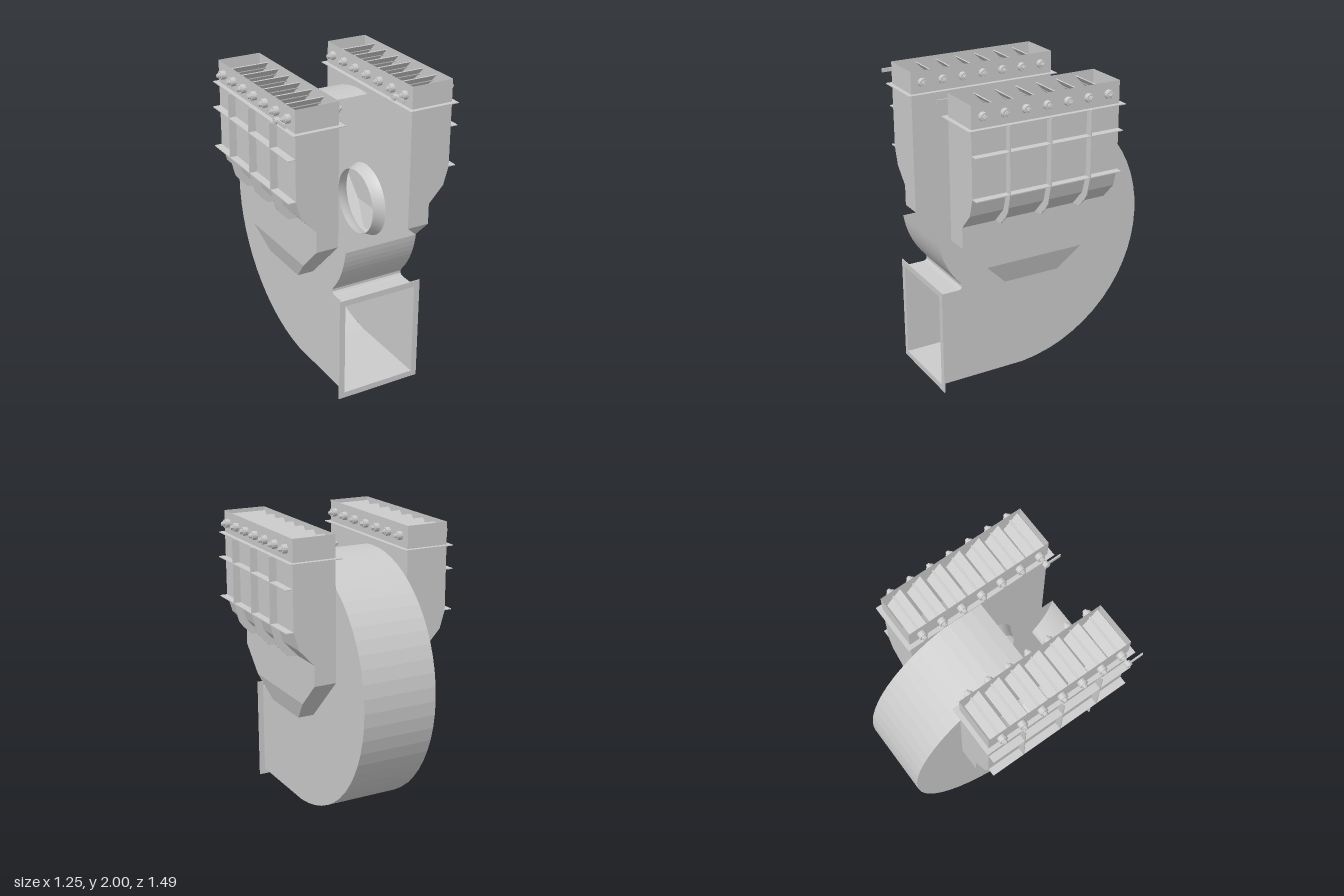
import * as THREE from 'three';

const flat = new THREE.MeshStandardMaterial({ color: 0xcccccc, flatShading: true, side: THREE.DoubleSide });
const smooth = new THREE.MeshStandardMaterial({ color: 0xcccccc, side: THREE.DoubleSide });

const CX = 0.02, HALF = 0.255;         // casing centre and half width in x
const AZ = 0.135, AY = 1.05;           // fan axis (z, y)
const BOX_W = 0.29, BOX_HZ = 0.515;    // inlet box width and half depth

function add(parent, name, geo, mat = flat, pos = [0, 0, 0]) {
  const m = new THREE.Mesh(geo, mat);
  m.name = name;
  m.position.set(...pos);
  parent.add(m);
  return m;
}

// Sheet through rows of [x, y, z] points
function sheet(rows) {
  const p = [];
  for (let i = 0; i < rows.length - 1; i++)
    for (let j = 0; j < rows[i].length - 1; j++) {
      const a = rows[i][j], b = rows[i][j + 1], c = rows[i + 1][j + 1], d = rows[i + 1][j];
      p.push(...a, ...b, ...c, ...a, ...c, ...d);
    }
  const g = new THREE.BufferGeometry();
  g.setAttribute('position', new THREE.Float32BufferAttribute(p, 3));
  g.computeVertexNormals();
  return g;
}

const poly = (pts) => new THREE.Shape(pts.map(([x, y]) => new THREE.Vector2(x, y)));
const rect = (w, h) => [[-w / 2, -h / 2], [w / 2, -h / 2], [w / 2, h / 2], [-w / 2, h / 2]];

// Flat rectangular flange around an opening
function flange(w, h, lip, t) {
  const s = poly(rect(w + 2 * lip, h + 2 * lip));
  s.holes.push(poly(rect(w, h)));
  return new THREE.ExtrudeGeometry(s, { depth: t, bevelEnabled: false });
}

// Scroll as [z, y]; angle in degrees from the bottom, going round the back
function scroll(from, to, step = 6) {
  const pts = [], n = Math.round((to - from) / step);
  for (let i = 0; i <= n; i++) {
    const d = from + ((to - from) * i) / n, a = (d * Math.PI) / 180;
    const r = 1.01 - 0.135 * (d / 90);
    pts.push([AZ - r * Math.sin(a), AY - r * Math.cos(a)]);
  }
  return pts;
}

function casing() {
  const g = new THREE.Group();
  g.name = 'casing';
  const strip = (pts) => sheet(pts.map(([z, y]) => [[CX - HALF, y, z], [CX + HALF, y, z]]));
  const tongue = [...scroll(270, 304, 4), [0.583, 0.722], [0.583, 0.705], [0.594, 0.692], [0.61, 0.69], [0.742, 0.69]];
  add(g, 'scrollShell', strip([[0.742, 0.04], ...scroll(0, 180)]));
  add(g, 'tongue', strip(tongue));

  // Side plates run up to form the inner walls of the inlet boxes
  const back = scroll(0, 228 - 90 + 1.5);
  const plate = poly([
    [0.742, 0.04], ...back, [-0.38, 1.66], [-0.38, 2], [0.65, 2], [0.65, 1.05], ...tongue,
  ]);
  const hole = new THREE.Path();
  hole.absarc(AZ, AY, 0.25, 0, Math.PI * 2, true);
  plate.holes.push(hole);
  const plateGeo = new THREE.ShapeGeometry(plate, 24).rotateY(-Math.PI / 2);
  const bell = new THREE.LatheGeometry(
    [[0.25, 0], [0.238, 0.022], [0.228, 0.05], [0.222, 0.08]].map(([r, h]) => new THREE.Vector2(r, h)), 48);
  for (const s of [-1, 1]) {
    add(g, 'sidePlate', plateGeo, flat, [CX + s * HALF, 0, 0]);
    add(g, 'inletBell', bell, smooth, [CX + s * HALF, AY, AZ]).rotation.z = (s * Math.PI) / 2;
  }
  add(g, 'outletFlange', flange(0.51, 0.64, 0.04, 0.006), flat, [CX, 0.36, 0.739]);
  return g;
}

function inletBox(s) {
  const g = new THREE.Group();
  g.name = s > 0 ? 'leftInletBox' : 'rightInletBox';
  g.position.set(CX + s * HALF, 0, AZ);

  // Walls: [y, width, half depth], ending in a closed bottom
  const levels = [
    [2, BOX_W, BOX_HZ], [1.42, BOX_W, BOX_HZ], [1.3, 0.255, BOX_HZ], [1.19, 0.152, BOX_HZ],
    [1.05, 0.152, BOX_HZ], [0.88, 0.152, 0.345], [0.73, 0.11, 0.195], [0.73, 0, 0.195],
  ];
  add(g, 'boxWalls', sheet(levels.map(([y, w, h]) =>
    [[0, y, -h], [s * w, y, -h], [s * w, y, h], [0, y, h]])));

  add(g, 'boxFlange', flange(BOX_W, 2 * BOX_HZ, 0.03, 0.006).rotateX(-Math.PI / 2), flat,
    [s * BOX_W / 2, 1.847, 0]);

  // Stiffeners on the outer wall
  for (const y of [1.69, 1.42])
    add(g, 'horizontalRib', new THREE.BoxGeometry(0.05, 0.006, 2 * BOX_HZ), flat, [s * (BOX_W + 0.025), y, 0]);
  const rib = poly([
    [0.29, 1.85], [0.34, 1.85], [0.34, 1.42], [0.305, 1.29], [0.275, 1.25], [0.22, 1.195],
    [0.152, 1.19], [0.255, 1.3], [0.29, 1.42],
  ].map(([x, y]) => [s * x, y]));
  const ribGeo = new THREE.ExtrudeGeometry(rib, { depth: 0.006, bevelEnabled: false });
  for (const z of [-0.283, 0, 0.283]) add(g, 'verticalRib', ribGeo, flat, [0, 0, z - 0.003]);

  g.add(damper(s * BOX_W / 2));
  return g;
}

// Louvre damper: tilted blades on shafts, with a lever on the front one
function damper(x) {
  const g = new THREE.Group();
  g.name = 'damper';
  g.position.set(x, 1.925, 0);
  const rod = (r, len, n) => new THREE.CylinderGeometry(r, r, len, n).rotateZ(Math.PI / 2);
  const blade = new THREE.BoxGeometry(BOX_W - 0.012, 0.006, 0.145);
  const shaft = rod(0.008, 0.4, 10), bearing = rod(0.028, 0.034, 16), collar = rod(0.018, 0.012, 12), nut = rod(0.014, 0.01, 6);
  for (let i = 0; i < 7; i++) {
    const z = 0.44 - 0.145 * i;
    add(g, 'blade', blade, flat, [0, 0, z]).rotation.x = -Math.PI / 4;
    add(g, 'shaft', shaft, smooth, [0, 0, z]);
    for (const e of [-1, 1]) {
      add(g, 'bearing', bearing, flat, [e * 0.162, 0, z]);
      add(g, 'collar', collar, flat, [e * 0.183, 0, z]);
      add(g, 'shaftNut', nut, flat, [e * 0.193, 0, z]);
    }
  }
  add(g, 'leverShaft', rod(0.008, 0.06, 10), smooth, [-0.215, 0, 0.44]);
  add(g, 'leverHub', rod(0.02, 0.03, 12), flat, [-0.226, 0, 0.44]);
  add(g, 'lever', new THREE.BoxGeometry(0.008, 0.026, 0.11), flat, [-0.226, 0, 0.492]);
  return g;
}

export function createModel() {
  const model = new THREE.Group();
  model.name = 'doubleInletFan';
  model.add(casing(), inletBox(-1), inletBox(1));
  return model;
}
